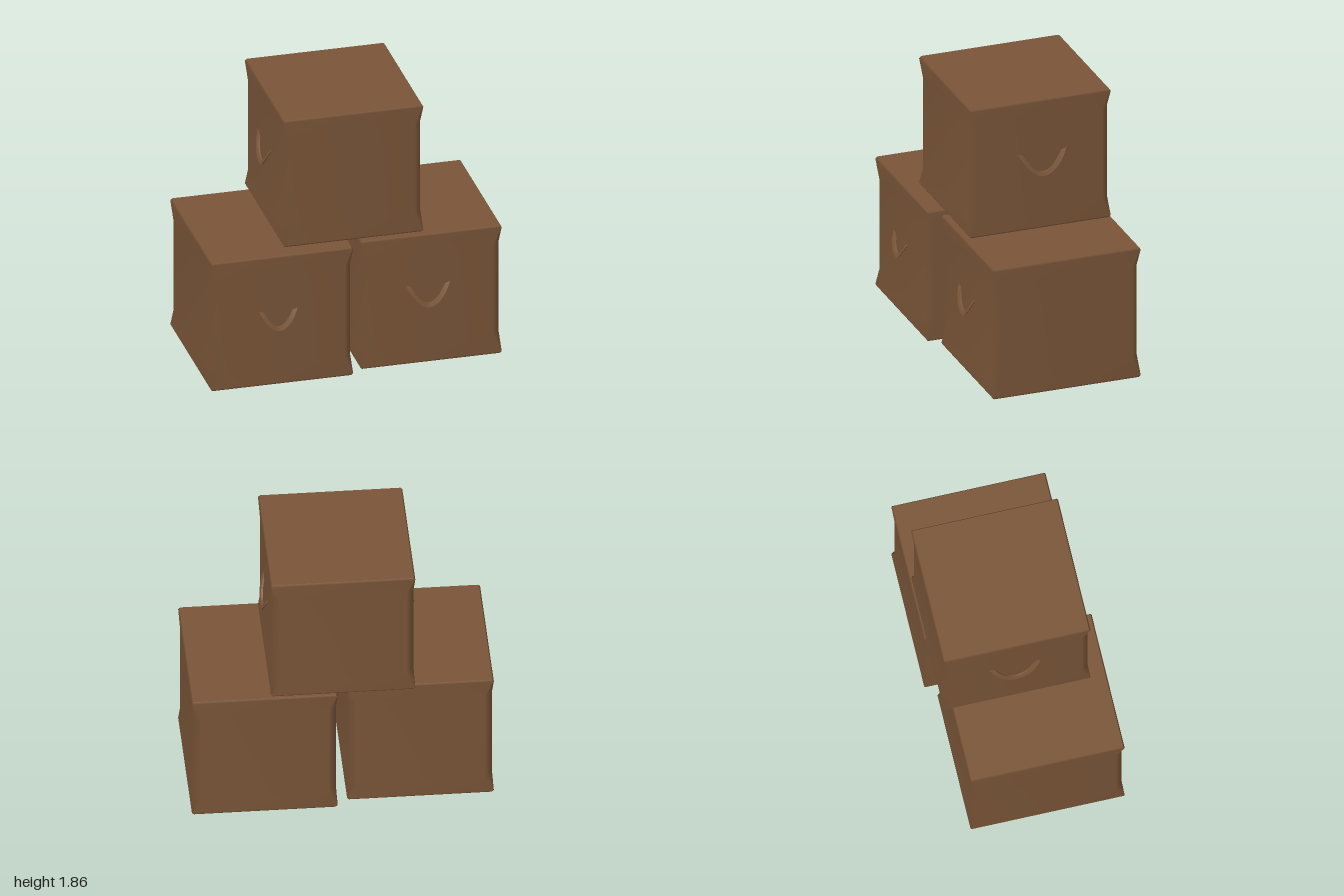
import * as THREE from 'three';

const brown = new THREE.MeshStandardMaterial({ color: 0x7a5538 });
brown.name = 'cardboard brown';

// Cross-section of a crate: a rectangle with chamfered corners, counter-clockwise from above
function ring(w, d, inset, c) {
  const x = w / 2 - inset, z = d / 2 - inset;
  return [[x - c, z], [x, z - c], [x, -z + c], [x - c, -z], [-x + c, -z], [-x, -z + c], [-x, z - c], [-x + c, z]];
}

function geometry(pos, idx) {
  const g = new THREE.BufferGeometry();
  g.setAttribute('position', new THREE.Float32BufferAttribute(pos, 3));
  g.setIndex(idx);
  g.computeVertexNormals();
  return g;
}

// Crate: soft-shaded walls with slightly sunken panels, flat lid and base
function crate(name, w, h, d) {
  const group = new THREE.Group();
  group.name = name;
  // height fraction, inset, corner chamfer
  const rows = [[0, 0.008, 0.006], [0.014, 0, 0.006], [0.15, 0.008, 0.05],
    [0.85, 0.008, 0.05], [0.986, 0, 0.006], [1, 0.008, 0.006]];
  const pos = [], idx = [];
  rows.forEach(([f, inset, c], r) => {
    ring(w, d, inset, c).forEach(([x, z], i) => {
      pos.push(x, f * h, z);
      if (r === rows.length - 1) return;
      const j = (i + 1) % 8, a = r * 8 + i, b = r * 8 + j;
      idx.push(a, b, b + 8, a, b + 8, a + 8);
    });
  });
  const walls = new THREE.Mesh(geometry(pos, idx), brown);
  walls.name = 'walls';
  group.add(walls);

  for (const top of [true, false]) {
    const p = [], t = [];
    ring(w, d, 0.008, 0.006).forEach(([x, z]) => p.push(x, top ? h : 0, z));
    for (let i = 1; i < 7; i++) t.push(0, ...(top ? [i, i + 1] : [i + 1, i]));
    const cap = new THREE.Mesh(geometry(p, t), brown);
    cap.name = top ? 'lid' : 'base';
    group.add(cap);
  }
  return group;
}

// Handle: a thin crescent strap on a wall facing +z, its lowest point at y = 0
function handle(halfWidth, height) {
  const n = 20, pos = [], idx = [];
  for (let i = 0; i <= n; i++) {
    const t = i / n * 2 - 1;
    const p = -0.012 + 0.042 * (1 - t ** 4);
    const slope = 2 * t * height / halfWidth, len = Math.hypot(1, slope);
    const x = t * halfWidth, y = t * t * height;
    const xi = x - 0.026 * slope / len, yi = y + 0.026 / len;
    // outer front, inner front, inner back, outer back
    pos.push(x, y, p, xi, yi, p - 0.01, xi, yi, p - 0.022, x, y, p - 0.006);
    if (i === n) continue;
    for (let k = 0; k < 4; k++) {
      const a = i * 4 + k, b = i * 4 + (k + 1) % 4;
      idx.push(a, a + 4, b + 4, a, b + 4, b);
    }
  }
  const e = n * 4;
  idx.push(0, 1, 2, 0, 2, 3, e, e + 2, e + 1, e, e + 3, e + 2);
  const g = geometry(pos, idx).toNonIndexed();
  g.computeVertexNormals();
  const mesh = new THREE.Mesh(g, brown);
  mesh.name = 'handle';
  return mesh;
}

export function createModel() {
  const model = new THREE.Group();
  model.name = 'stackedCrates';

  // Lower crates, each with a handle on the front
  const lower = [
    ['lowerRightCrate', -0.515, 0.018, 0.968, 1.04, -0.025, 0.135, 0.40, 0.145],
    ['lowerLeftCrate', 0.518, -0.053, 0.962, 1.04, -0.02, 0.155, 0.41, 0.165],
  ];
  for (const [name, x, z, w, d, hx, half, hy, hh] of lower) {
    const c = crate(name, w, 0.93, d);
    c.position.set(x, 0, z);
    const strap = handle(half, hh);
    strap.position.set(hx, hy, d / 2);
    c.add(strap);
    model.add(c);
  }

  // Upper crate, with a handle on each side
  const upper = crate('upperCrate', 0.952, 0.92, 0.99);
  upper.position.set(0, 0.935, -0.066);
  for (const s of [1, -1]) {
    const strap = handle(0.178, 0.175);
    strap.position.set(s * 0.476, 0.385, -0.012);
    strap.rotation.y = s * Math.PI / 2;
    upper.add(strap);
  }
  model.add(upper);
  return model;
}
